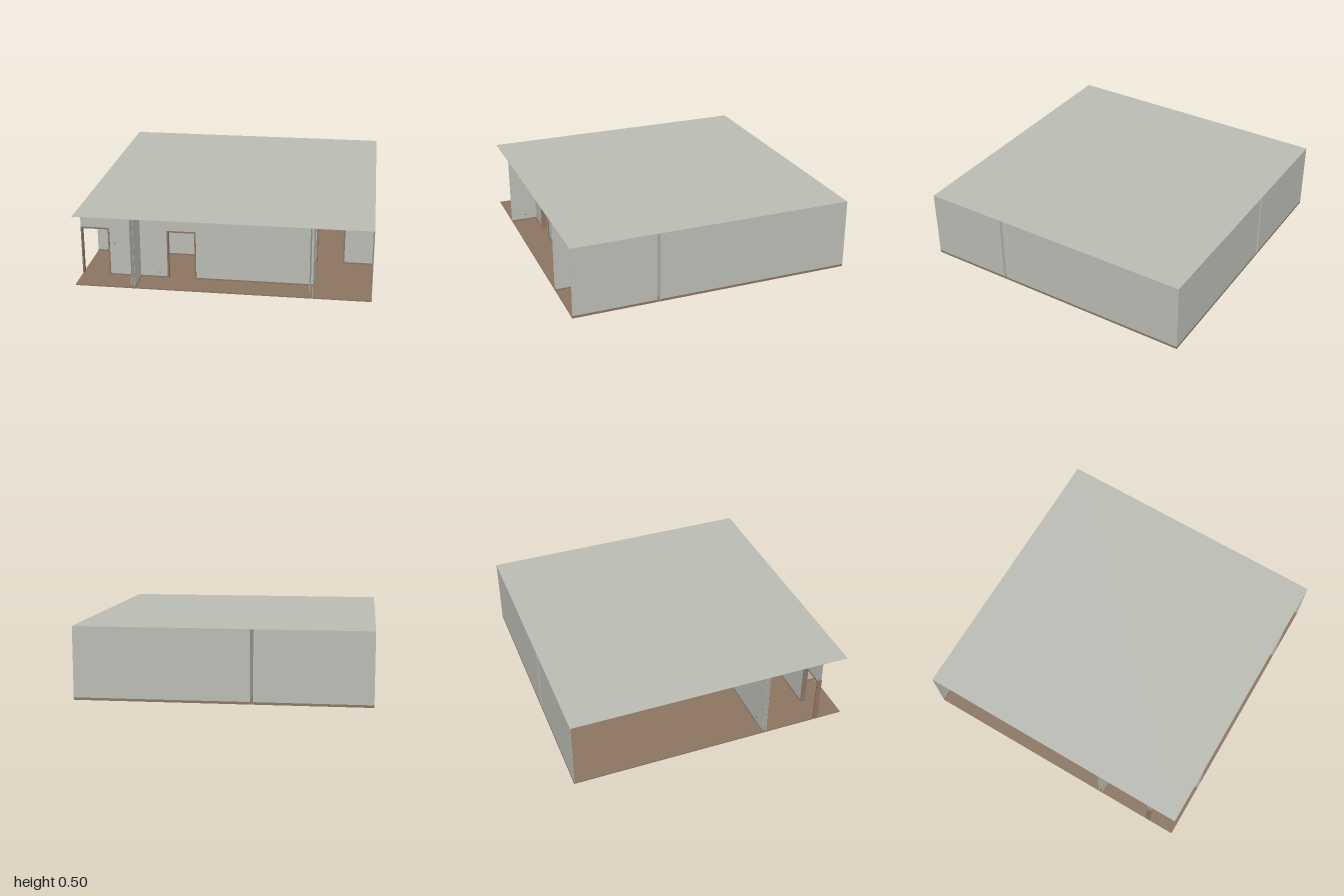
import * as THREE from 'three';

const wallMat = new THREE.MeshStandardMaterial({ color: 0xb9bab2 });
wallMat.name = 'plaster';
const woodMat = new THREE.MeshStandardMaterial({ color: 0x8a7461 });
woodMat.name = 'wood';
const plateMat = new THREE.MeshStandardMaterial({ color: 0x77776f });
plateMat.name = 'fittings';

const H = 0.5;         // ceiling height
const FLOOR = 0.008;   // floor thickness
const SKIRT = 0.017;   // top of skirting
const DOOR_H = 0.355;  // outer height of door frame
const HALF = 0.013;    // half of a wall's thickness
const SKIN = 0.002;

// box given by its minimum and maximum on each axis
function box(parent, name, mat, [x0, x1], [y0, y1], [z0, z1]) {
  const mesh = new THREE.Mesh(new THREE.BoxGeometry(x1 - x0, y1 - y0, z1 - z0), mat);
  mesh.position.set((x0 + x1) / 2, (y0 + y1) / 2, (z0 + z1) / 2);
  mesh.name = name;
  parent.add(mesh);
  return mesh;
}

// timber frame lining a doorway, running along local x
function doorFrame(parent, x0, x1) {
  const frame = new THREE.Group();
  frame.name = 'doorFrame';
  const t = 0.01, depth = [-HALF - 0.004, HALF + 0.004];
  box(frame, 'jamb', woodMat, [x0, x0 + t], [FLOOR, DOOR_H], depth);
  box(frame, 'jamb', woodMat, [x1 - t, x1], [FLOOR, DOOR_H], depth);
  box(frame, 'lintel', woodMat, [x0 + t, x1 - t], [DOOR_H - t, DOOR_H], depth);
  parent.add(frame);
}

// hollow partition of two skins along local x, with doorways cut out
function partition(name, from, to, doors = []) {
  const g = new THREE.Group();
  g.name = name;
  const piece = (x0, x1, y0) => {
    if (x1 - x0 < 0.001) return;
    for (const s of [-1, 1]) {
      const skin = [s * HALF, s * (HALF - SKIN)].sort((a, b) => a - b);
      box(g, 'wallSkin', wallMat, [x0, x1], [y0, H], skin);
      if (y0 < 0.1) {
        const skirt = [s * (HALF + 0.004), s * (HALF - SKIN)].sort((a, b) => a - b);
        box(g, 'skirting', woodMat, [x0, x1], [FLOOR, SKIRT], skirt);
      }
    }
  };
  let x = from;
  for (const [x0, x1] of doors) {
    piece(x, x0, FLOOR);
    piece(x0, x1, DOOR_H);
    doorFrame(g, x0, x1);
    x = x1;
  }
  piece(x, to, FLOOR);
  return g;
}

export function createModel() {
  const model = new THREE.Group();
  model.name = 'house';

  // floor and ceiling
  box(model, 'floor', woodMat, [-1, 1], [0, FLOOR], [-1, 1]);
  box(model, 'ceiling', wallMat, [-1, 1], [H - SKIN, H], [-1, 1]);

  // outer walls, split where partitions meet them
  for (const [a, b] of [[-1, 0.4 - HALF], [0.4 + HALF, 1]]) {
    box(model, 'sideWall', wallMat, [1 - SKIN, 1], [SKIRT, H], [a, b]);
    box(model, 'sideSkirting', woodMat, [0.994, 1], [FLOOR, SKIRT], [a, b]);
  }
  for (const [a, b] of [[-1, -0.2 - HALF], [-0.2 + HALF, 1]]) {
    box(model, 'backWall', wallMat, [a, b], [SKIRT, H], [-1, -1 + SKIN]);
    box(model, 'backSkirting', woodMat, [a, b], [FLOOR, SKIRT], [-1, -0.994]);
  }

  // partitions across the house
  const corridorFront = partition('corridorFrontWall', -1, 0.6 + HALF, [[-1, -0.8], [-0.4, -0.2]]);
  corridorFront.position.z = 0.8;
  const corridorBack = partition('corridorBackWall', -1, 1, [[0.6, 0.8]]);
  corridorBack.position.z = 0.4;
  model.add(corridorFront, corridorBack);

  // partitions from front to back
  for (const [name, x, a, b] of [
    ['leftPorchWall', 0.6, 0.8 + HALF, 1],
    ['rightPorchWall', -0.6, 0.8 + HALF, 1],
    ['bedroomWall', -0.2, -1, 0.4 - HALF],
  ]) {
    const w = partition(name, a, b);
    w.rotation.y = -Math.PI / 2;
    w.position.x = x;
    model.add(w);
  }

  // closed corner of the corridor wall, and a stud beside the hall doorway
  const end = 0.6 + HALF;
  box(model, 'wallEnd', wallMat, [end - SKIN, end], [FLOOR, H], [0.8 - HALF, 0.8 + HALF]);
  box(model, 'endSkirting', woodMat, [end, end + 0.004], [FLOOR, SKIRT], [0.8 - HALF, 0.8 + HALF]);
  box(model, 'stud', wallMat, [0.8, 0.81], [FLOOR, H], [0.4 - HALF + SKIN, 0.4 + HALF - SKIN]);

  // switches and sockets: x, y, z, and whether they face along x
  for (const [x, y, z, alongX] of [
    [-0.765, 0.245, 0.8 + HALF], [-0.455, 0.045, 0.8 + HALF],
    [0.47, 0.05, 0.4 + HALF], [-0.98, 0.25, 0.4 - HALF],
    [-0.89, 0.06, 0.4 - HALF], [-0.6 + HALF, 0.05, 0.895, true],
  ]) {
    const w = alongX ? 0.001 : 0.005, d = alongX ? 0.005 : 0.001;
    box(model, 'wallPlate', plateMat, [x - w, x + w], [y - 0.005, y + 0.005], [z - d, z + d]);
  }
  return model;
}
